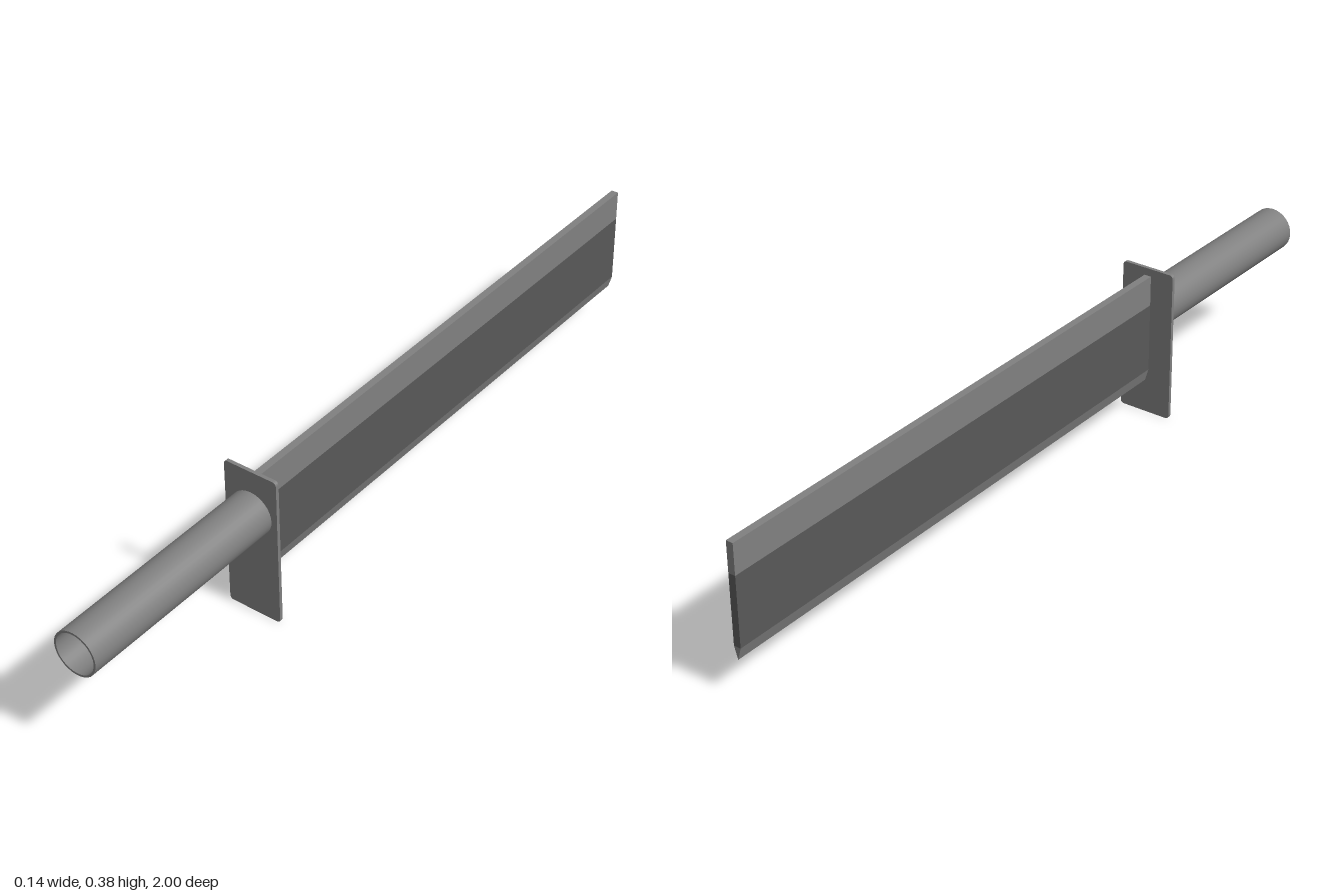
import * as THREE from 'three';

export function createModel() {
  const model = new THREE.Group();
  const steel = new THREE.MeshStandardMaterial({ name: 'grey steel', color: 0x808080 });
  const dark = new THREE.MeshStandardMaterial({ name: 'dark steel', color: 0x585858 });

  const add = (name, geometry, material) => {
    const mesh = new THREE.Mesh(geometry, material);
    mesh.name = name;
    model.add(mesh);
    return mesh;
  };
  // Extrudes an x-y outline from z0 to z1
  const extrude = (shape, z0, z1) =>
    new THREE.ExtrudeGeometry(shape, { depth: z1 - z0, bevelEnabled: false, curveSegments: 5 }).translate(0, 0, z0);
  const outline = (points) => new THREE.Shape(points.map(([x, y]) => new THREE.Vector2(x, y)));

  // Blade: flat spine, dark middle band and wedge-shaped cutting edge
  const t = 0.009, back = -1, guardBack = 0.437, guardFront = 0.446;
  add('bladeSpine', extrude(outline([[-t, 0.29], [t, 0.29], [t, 0.366], [-t, 0.366]]), back, guardBack), steel);
  add('bladeBand', extrude(outline([[-t, 0.117], [t, 0.117], [t, 0.29], [-t, 0.29]]), back, guardBack), dark);
  add('bladeEdge', extrude(outline([[0, 0.086], [t, 0.117], [-t, 0.117]]), back, guardBack), steel);

  // Guard: thin plate with rounded corners
  const w = 0.07, h = 0.385, r = 0.01;
  const plate = new THREE.Shape();
  plate.moveTo(-w + r, 0);
  plate.lineTo(w - r, 0);
  plate.quadraticCurveTo(w, 0, w, r);
  plate.lineTo(w, h - r);
  plate.quadraticCurveTo(w, h, w - r, h);
  plate.lineTo(-w + r, h);
  plate.quadraticCurveTo(-w, h, -w, h - r);
  plate.lineTo(-w, r);
  plate.quadraticCurveTo(-w, 0, -w + r, 0);
  add('guard', extrude(plate, guardBack, guardFront), steel);

  // Handle: hollow tube, open at the front
  const outer = 0.055, inner = 0.05, length = 1 - guardFront, mid = (1 + guardFront) / 2;
  const tube = (radius) => new THREE.CylinderGeometry(radius, radius, length, 32, 1, true).rotateX(Math.PI / 2);
  const inside = tube(inner);
  inside.scale(-1, 1, 1); // mirrored so its faces point into the bore
  add('handle', tube(outer), steel).position.set(0, 0.275, mid);
  add('handleBore', inside, steel).position.set(0, 0.275, mid);
  add('handleRim', new THREE.RingGeometry(inner, outer, 32), steel).position.set(0, 0.275, 1);

  return model;
}
